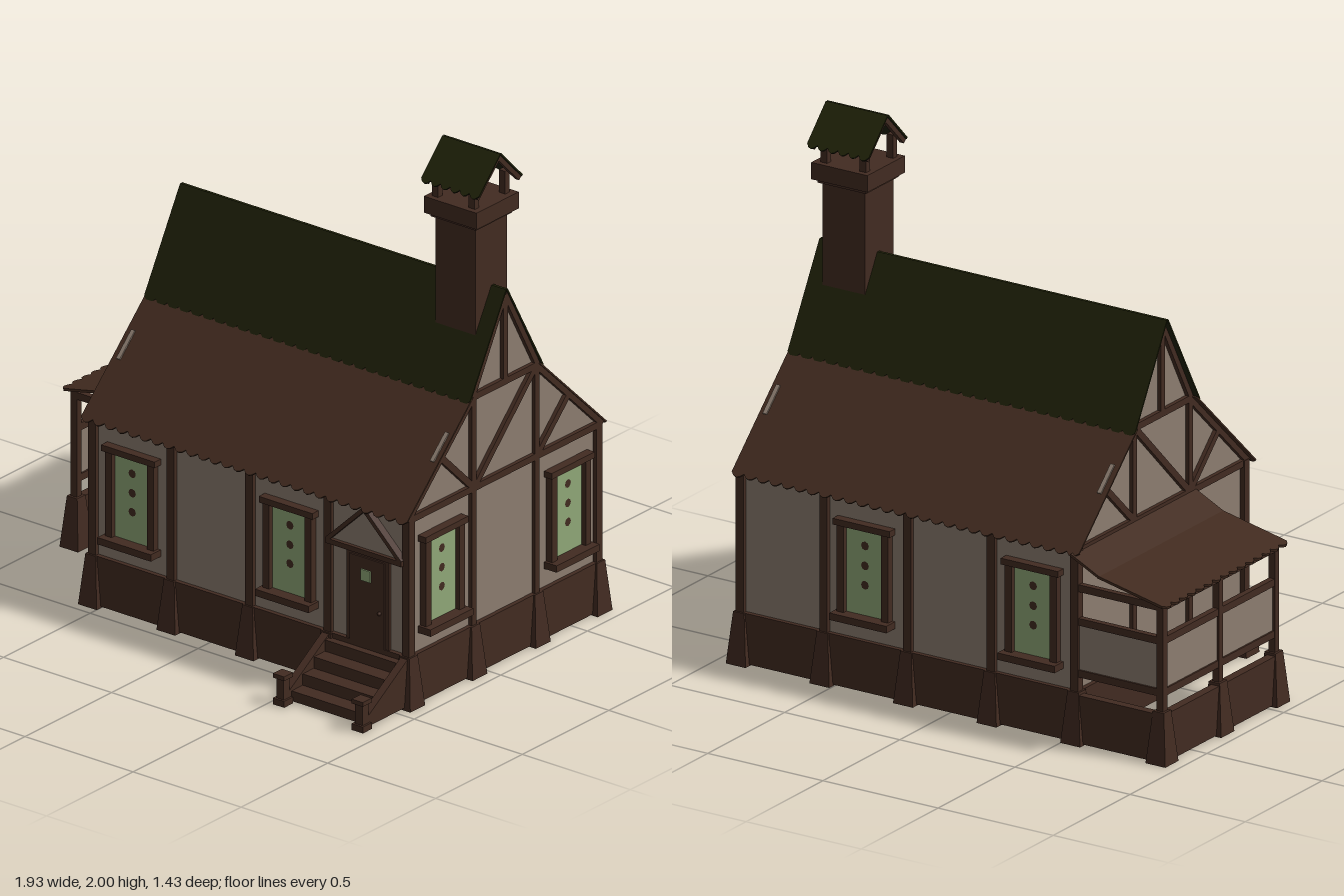
import * as THREE from 'three';

const mat = (name, color) => {
  const m = new THREE.MeshStandardMaterial({ color });
  m.name = name;
  return m;
};
const V = (x, y, z) => new THREE.Vector3(x, y, z);

export function createModel() {
  const model = new THREE.Group();
  model.name = 'cottage';
  const timber = mat('timber', 0x422b21);
  const shingle = mat('brownShingle', 0x422b1f);
  const moss = mat('mossRoof', 0x1f2108);
  const plaster = mat('plaster', 0x8c7d70);
  const glass = mat('windowGlass', 0x90a878);

  const CZ = -0.12;          // centre line of the house in z
  const HD = 0.541;          // half depth of the walls
  const XL = -0.54, XR = 0.911;

  const add = (name, geo, m, parent = model) => {
    const mesh = new THREE.Mesh(geo, m);
    mesh.name = name;
    parent.add(mesh);
    return mesh;
  };
  const box = (name, m, x0, x1, y0, y1, z0, z1, parent = model) => {
    const g = new THREE.BoxGeometry(Math.abs(x1 - x0), y1 - y0, Math.abs(z1 - z0));
    g.translate((x0 + x1) / 2, (y0 + y1) / 2, (z0 + z1) / 2);
    return add(name, g, m, parent);
  };
  // Orient a geometry so its y runs along "up" and its z faces "out"
  const orient = (geo, up, out, origin) => {
    const y = up.clone().normalize();
    const x = y.clone().cross(out).normalize();
    const z = x.clone().cross(y);
    return geo.applyMatrix4(new THREE.Matrix4().makeBasis(x, y, z).setPosition(origin));
  };
  const beam = (name, m, p, q, w, d, out) => {
    const dir = q.clone().sub(p);
    const g = new THREE.BoxGeometry(w, dir.length(), d);
    return add(name, orient(g, dir, out, p.clone().add(q).multiplyScalar(0.5)), m);
  };
  // Solid with a (z, y) outline, running from x0 to x1
  const prism = (name, m, pts, x0, x1) => {
    const s = new THREE.Shape(pts.map(([z, y]) => new THREE.Vector2(z, y)));
    const g = new THREE.ExtrudeGeometry(s, { depth: x1 - x0, bevelEnabled: false });
    return add(name, orient(g, V(0, 1, 0), V(-1, 0, 0), V(x1, 0, 0)), m);
  };
  // Thin roof sheet with a row of scallops hanging from its lower edge
  const roofSheet = (name, m, mid, up, width, out, scallops, thick = 0.006) => {
    const s = new THREE.Shape(), h = up.length(), step = scallops ? width / scallops : 0;
    s.moveTo(-width / 2, 0);
    for (let i = 0; i < scallops; i++) {
      const a = -width / 2 + i * step;
      s.quadraticCurveTo(a + step / 2, -0.034, a + step, 0);
    }
    s.lineTo(width / 2, 0);
    s.lineTo(width / 2, h);
    s.lineTo(-width / 2, h);
    const g = new THREE.ExtrudeGeometry(s, { depth: thick, bevelEnabled: false, curveSegments: 4 });
    return add(name, orient(g, up, out, mid), m);
  };
  // Tapered foot below each post
  const foot = (x, z) => {
    const g = new THREE.CylinderGeometry(0.024 * Math.SQRT2, 0.043 * Math.SQRT2, 0.2, 4, 1)
      .rotateY(Math.PI / 4).toNonIndexed();
    g.computeVertexNormals();
    add('postFoot', g.translate(x, 0.1, z), timber);
  };

  // Plaster body with the double-pitch gable
  const half = [[HD, 0.18], [HD, 0.74], [0.18, 1.09], [0, 1.435]];
  const outline = [...half, ...half.slice(0, 3).reverse().map(([z, y]) => [-z, y])];
  prism('plasterBody', plaster, outline.map(([z, y]) => [z + CZ, y]), XL, XR);

  // Hollow plinth and floor
  for (const s of [-1, 1]) {
    const z = CZ + s * HD;
    box('plinthLong', timber, XL - 0.015, XR + 0.015, 0.005, 0.2, z - s * 0.02, z + s * 0.018);
  }
  for (const [x, s] of [[XL, -1], [XR, 1]])
    box('plinthEnd', timber, x - s * 0.02, x + s * 0.018, 0.005, 0.2, CZ - HD, CZ + HD);
  box('floor', timber, XL, XR, 0.13, 0.18, CZ - HD, CZ + HD);

  // Framed window, built facing +z
  const addWindow = (x, z, turn) => {
    const w = new THREE.Group();
    w.name = 'window';
    box('glass', glass, -0.085, 0.085, 0.29, 0.64, 0, 0.008, w);
    for (const s of [-1, 1]) box('jamb', timber, s * 0.082, s * 0.112, 0.28, 0.64, 0, 0.028, w);
    box('header', timber, -0.124, 0.124, 0.632, 0.656, 0, 0.036, w);
    box('sill', timber, -0.124, 0.124, 0.27, 0.297, 0, 0.058, w);
    for (const y of [0.415, 0.49, 0.567])
      add('paneOrnament', new THREE.CircleGeometry(0.017, 8).translate(0, y, 0.011), timber, w);
    w.position.set(x, 0, z);
    w.rotation.y = turn;
    model.add(w);
  };
  for (const x of [-0.36, 0.37]) {
    addWindow(x, CZ + HD, 0);
    addWindow(x, CZ - HD, Math.PI);
  }
  for (const z of [0.243, -0.485]) addWindow(XR, z, Math.PI / 2);

  // Posts and feet on the long walls
  for (const s of [-1, 1]) for (let i = 0; i < 5; i++) {
    const x = -0.542 + i * 0.363, z = CZ + s * HD;
    box('wallPost', timber, x - 0.017, x + 0.017, 0.19, 0.75, z - 0.017, z + 0.017);
    foot(x, z);
  }

  // Timber framing on both gables
  for (const [x, s] of [[XL, -1], [XR, 1]]) {
    const out = V(s, 0, 0);
    const b = (z0, y0, z1, y1, w = 0.026) =>
      beam('gableTimber', timber, V(x, y0, CZ + z0), V(x, y1, CZ + z1), w, 0.032, out);
    b(-HD, 0.74, HD, 0.74);
    b(-0.18, 1.1, 0.18, 1.1);
    b(0, 1.1, 0, 1.42);
    b(0.18, 0.74, -0.17, 1.09);
    for (const m of [-1, 1]) {
      b(m * 0.183, 0.2, m * 0.183, 1.1);
      b(m * 0.19, 0.75, m * 0.365, 0.92);
      b(m * 0.56, 0.737, m * 0.187, 1.092, 0.022);
      b(m * 0.193, 1.09, 0, 1.443, 0.022);
      if (s > 0) foot(x, CZ + m * 0.183);
    }
  }

  // Main roof: brown lower slopes, mossy upper slopes
  const RX = 0.178, RW = 1.508;
  for (const s of [-1, 1]) {
    const lowOut = V(0, 0.385, s * 0.37), highOut = V(0, 0.208, s * 0.37);
    roofSheet('lowerRoof', shingle, V(RX, 0.74, CZ + s * 0.573), V(0, 0.363, -s * 0.382), RW, lowOut, 28);
    roofSheet('upperRoof', moss, V(RX, 1.092, CZ + s * 0.208), V(0, 0.371, -s * 0.208), RW, highOut, 28);
    for (const x of [-0.546, 0.906])
      beam('roofCleat', plaster, V(x, 0.908, CZ + s * 0.393), V(x, 0.992, CZ + s * 0.305), 0.017, 0.028, lowOut);
  }

  // Chimney with a small roofed cap
  const cx = 0.773, cz = -0.113;
  const block = (name, m, hw, y0, y1) => box(name, m, cx - hw, cx + hw, y0, y1, cz - hw, cz + hw);
  block('chimneyStack', timber, 0.092, 1.2, 1.73);
  block('chimneyCollar', timber, 0.105, 1.72, 1.74);
  block('chimneyCap', timber, 0.122, 1.735, 1.8);
  for (const s of [-1, 1]) {
    for (const px of [0.685, 0.855])
      box('chimneyPost', timber, px - 0.014, px + 0.014, 1.8, 1.89, cz + s * 0.075, cz + s * 0.1);
    roofSheet('chimneyRoof', moss, V(0.776, 1.868, cz + s * 0.122), V(0, 0.125, -s * 0.122), 0.268, V(0, 1, s), 6);
    for (const px of [0.66, 0.892])
      beam('chimneyRafter', timber, V(px, 1.856, cz + s * 0.122), V(px, 1.979, cz), 0.018, 0.018, V(0, 1, s));
  }

  // Door with pediment
  const fz = CZ + HD;
  box('doorFrame', timber, 0.635, 0.83, 0.19, 0.555, fz, fz + 0.014);
  box('doorLeaf', timber, 0.652, 0.813, 0.2, 0.54, fz, fz + 0.02);
  box('doorWindow', glass, 0.708, 0.753, 0.45, 0.494, fz + 0.02, fz + 0.026);
  add('doorKnob', new THREE.SphereGeometry(0.008, 8, 6).translate(0.795, 0.34, fz + 0.026), timber);
  box('doorLintel', timber, 0.55, 0.9, 0.555, 0.575, fz, fz + 0.03);
  const ped = new THREE.Shape([[0.56, 0.57], [0.89, 0.57], [0.725, 0.73]].map(p => new THREE.Vector2(...p)));
  add('pedimentPanel', new THREE.ExtrudeGeometry(ped, { depth: 0.015, bevelEnabled: false }).translate(0, 0, fz), plaster);
  for (const s of [-1, 1])
    beam('pedimentRafter', timber, V(0.725 + s * 0.17, 0.572, fz + 0.015), V(0.725, 0.735, fz + 0.015), 0.016, 0.032, V(0, 0, 1));

  // Front steps with stringers and newel posts
  for (let i = 0; i < 4; i++)
    box('step', timber, 0.55, 0.9, i ? i * 0.045 - 0.02 : 0.005, 0.045 * (i + 1), fz, 0.66 - i * 0.064);
  for (const x of [0.545, 0.909]) {
    prism('stepStringer', timber, [[fz, 0.01], [0.69, 0.01], [0.69, 0.04], [fz, 0.21]], x - 0.016, x + 0.016);
    box('newelBase', timber, x - 0.026, x + 0.026, 0, 0.025, 0.664, 0.716);
    box('newelPost', timber, x - 0.017, x + 0.017, 0.02, 0.11, 0.673, 0.707);
    box('newelCap', timber, x - 0.026, x + 0.026, 0.105, 0.122, 0.664, 0.716);
  }

  // Side porch: open front, railed side and back, no floor
  const px = -0.913, zf = 0.065, zb = -0.662;
  for (const z of [zf, (zf + zb) / 2, zb]) {
    box('porchPost', timber, px - 0.014, px + 0.014, 0.19, 0.62, z - 0.014, z + 0.014);
    foot(px, z);
  }
  for (const y of [0.6, 0.47, 0.27]) {
    box('porchSideRail', timber, px - 0.012, px + 0.012, y - 0.014, y + 0.014, zb, zf);
    box('porchBackRail', timber, px, XL, y - 0.014, y + 0.014, zb - 0.012, zb + 0.012);
  }
  box('porchFrontRail', timber, px, XL, 0.586, 0.614, zf - 0.012, zf + 0.012);
  box('porchSidePanel', plaster, px - 0.005, px + 0.005, 0.27, 0.47, zb, zf);
  box('porchBackPanel', plaster, px, XL, 0.27, 0.47, zb - 0.005, zb + 0.005);
  box('porchSidePlinth', timber, px - 0.022, px + 0.012, 0.005, 0.19, zb, zf);
  box('porchBackPlinth', timber, px, XL, 0.005, 0.19, zb - 0.022, zb + 0.012);

  // Porch roof in two pitches
  const pz = -0.308, pw = 0.808;
  roofSheet('porchRoofLower', shingle, V(-0.946, 0.614, pz), V(0.281, 0.059, 0), pw, V(-0.059, 0.281, 0), 15, 0.01);
  roofSheet('porchRoofUpper', shingle, V(-0.67, 0.672, pz), V(0.125, 0.062, 0), pw, V(-0.062, 0.125, 0), 0, 0.01);

  return model;
}
